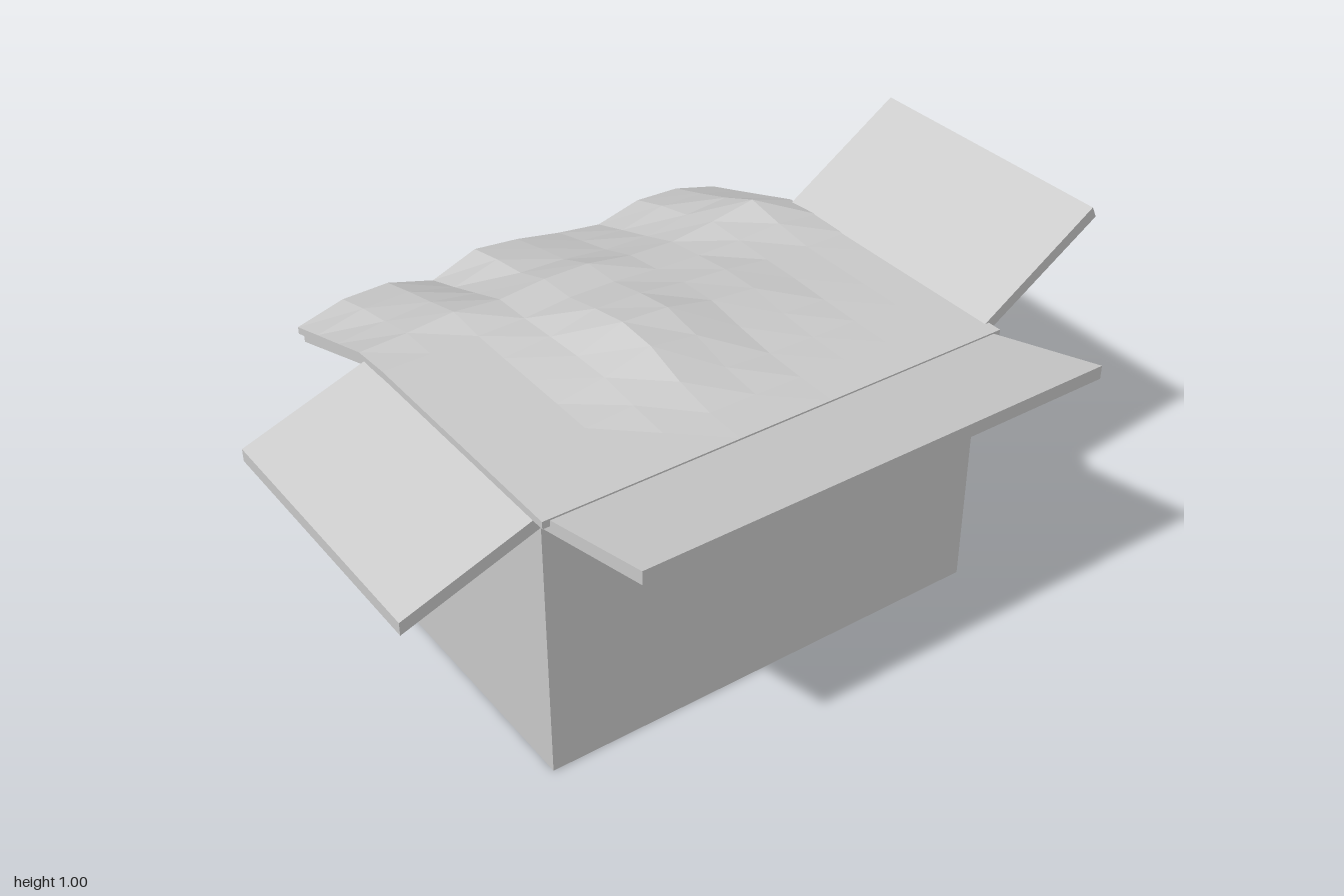
import * as THREE from 'three';

const W = 0.385, D = 0.643, H = 0.75, T = 0.03;

function material() {
  return new THREE.MeshStandardMaterial({ color: 0xcccccc, flatShading: true });
}

function addMesh(parent, name, geometry) {
  const mesh = new THREE.Mesh(geometry, material());
  mesh.name = name;
  parent.add(mesh);
  return mesh;
}

function addBox(parent, name, size, pos) {
  addMesh(parent, name, new THREE.BoxGeometry(...size)).position.set(...pos);
}

// Flap: its side outline runs outward (u) and up (y), extruded along the hinge
function addFlap(parent, name, outline, width, angle) {
  const shape = new THREE.Shape(outline.map(([u, y]) => new THREE.Vector2(u, y)));
  const geo = new THREE.ExtrudeGeometry(shape, { depth: width, bevelEnabled: false });
  geo.translate(0, 0, -width / 2);
  addMesh(parent, name, geo).rotation.y = angle;
}

// Soft folds in the cloth: [x, z, radius x, radius z, height]
const folds = [
  [-0.05, 0.08, 0.2, 0.16, 0.073],
  [0.1, 0.18, 0.11, 0.11, 0.02],
  [-0.1, -0.2, 0.17, 0.16, 0.03],
  [-0.42, -0.5, 0.13, 0.1, 0.045],
  [-0.42, 0.06, 0.1, 0.13, 0.025],
  [-0.72, -0.46, 0.2, 0.1, 0.06],
  [-0.75, -0.12, 0.15, 0.1, 0.02],
  [-0.75, 0.08, 0.2, 0.1, 0.075],
  [-0.74, 0.46, 0.22, 0.11, 0.06],
  [-0.45, 0.38, 0.1, 0.12, 0.02],
];

// Cloth rests flat on the box, then hangs along the lowered side flap
function clothHeight(x, z) {
  let y = 0.775 + Math.min(0, (x + 0.38) * 0.315);
  for (const [fx, fz, rx, rz, h] of folds) {
    y += h * Math.exp(-(((x - fx) / rx) ** 2) - ((z - fz) / rz) ** 2);
  }
  return y;
}

export function createModel() {
  const model = new THREE.Group();
  model.name = 'openBox';

  // Hollow carton
  const carton = new THREE.Group();
  carton.name = 'carton';
  model.add(carton);
  addBox(carton, 'bottom', [2 * W, T, 2 * D], [0, T / 2, 0]);
  for (const [s, side, end] of [[1, 'leftWall', 'frontWall'], [-1, 'rightWall', 'backWall']]) {
    addBox(carton, side, [T, H - T, 2 * D], [s * (W - T / 2), (H + T) / 2, 0]);
    addBox(carton, end, [2 * (W - T), H - T, T], [0, (H + T) / 2, s * (D - T / 2)]);
  }

  // Four opened flaps
  addFlap(model, 'leftFlap', [[W, 0.735], [0.775, 0.838], [0.775, 0.874], [W, 0.77]], 2 * D, 0);
  addFlap(model, 'rightFlap', [[W, 0.735], [0.78, 0.606], [0.78, 0.641], [W, 0.77]], 2 * D, Math.PI);
  addFlap(model, 'frontFlap', [[D, 0.735], [1, 0.607], [1, 0.642], [D, 0.77]], 2 * W, -Math.PI / 2);
  addFlap(model, 'backFlap', [[D, 0.745], [1, 0.975], [0.985, 1.005], [D, 0.78]], 2 * W, Math.PI / 2);

  // Rumpled cloth: a thin gridded slab lifted by the folds
  const cloth = new THREE.BoxGeometry(1.19, 0.02, 1.326, 10, 1, 10);
  cloth.translate(-0.17, 0, 0);
  const p = cloth.attributes.position;
  for (let i = 0; i < p.count; i++) {
    p.setY(i, p.getY(i) + clothHeight(p.getX(i), p.getZ(i)));
  }
  cloth.computeVertexNormals();
  addMesh(model, 'cloth', cloth);

  return model;
}
